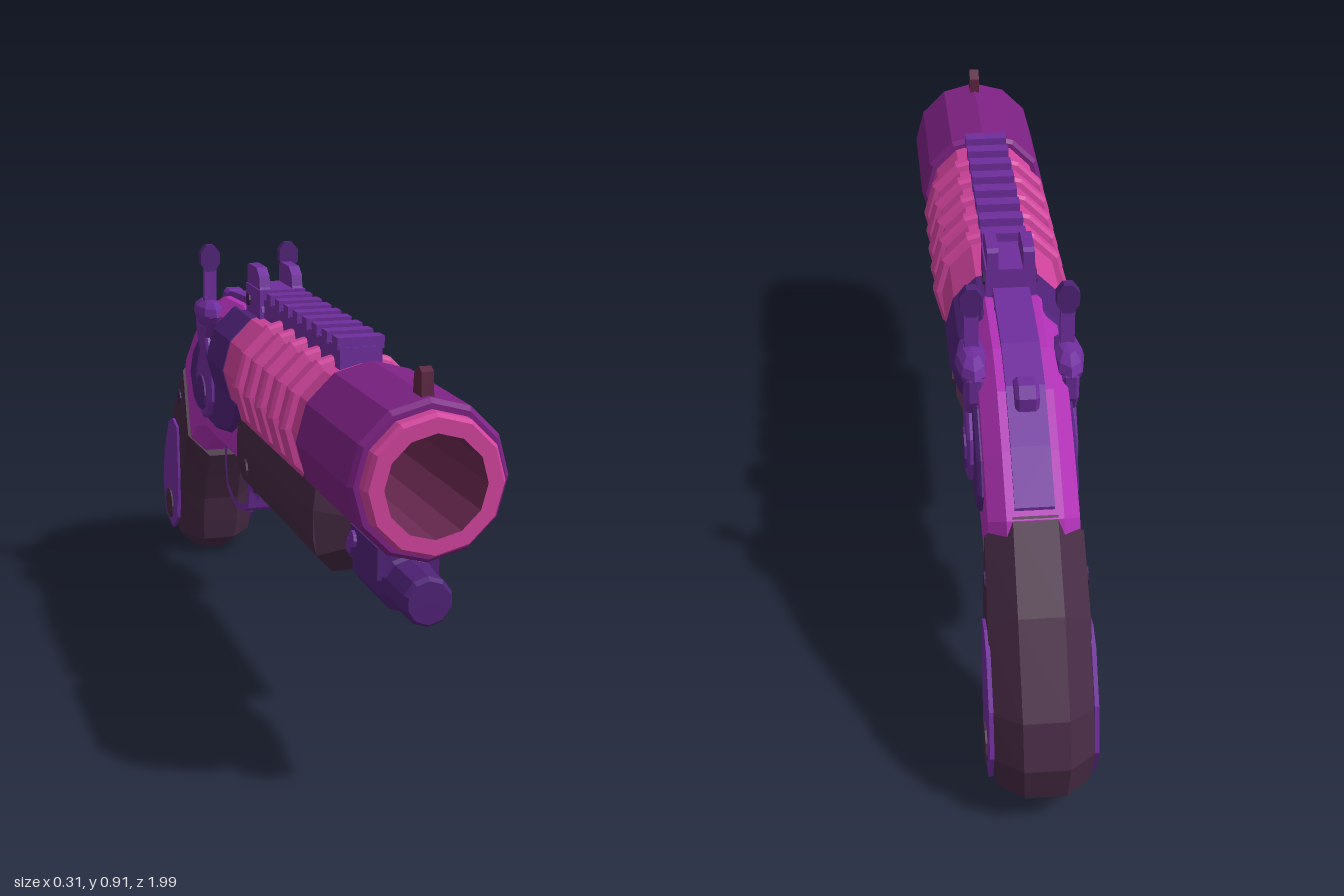
import * as THREE from 'three';

const mat = (name, color) => {
  const m = new THREE.MeshStandardMaterial({ color });
  m.name = name;
  return m;
};

export function createModel() {
  const pink = mat('pink', 0xd0439c);
  const plum = mat('plum', 0x7d2183);
  const magenta = mat('magenta', 0xb131b6);
  const violet = mat('violet', 0x6f2d9c);
  const indigo = mat('indigo', 0x4f2277);
  const dark = mat('dark grip', 0x462a44);
  const boreMat = mat('bore', 0x6b2952);
  const sightMat = mat('maroon', 0x5a2340);
  const screwMat = mat('screw', 0x3c1f50);

  const model = new THREE.Group();

  // Adds a faceted mesh
  const add = (name, geo, material, x = 0, y = 0, z = 0) => {
    const g = geo.index ? geo.toNonIndexed() : geo;
    g.computeVertexNormals();
    const mesh = new THREE.Mesh(g, material);
    mesh.name = name;
    mesh.position.set(x, y, z);
    model.add(mesh);
    return mesh;
  };
  const box = (name, m, w, h, d, x, y, z) => add(name, new THREE.BoxGeometry(w, h, d), m, x, y, z);
  const shapeOf = pts => new THREE.Shape(pts.map(p => new THREE.Vector2(p[0], p[1])));

  // Extrudes a (z, y) side profile across x, with chamfered edges
  const side = (name, m, pts, width, bevel = 0, x = 0, hole = null) => {
    const s = shapeOf(pts);
    if (hole) s.holes.push(new THREE.Path(hole.map(p => new THREE.Vector2(p[0], p[1]))));
    const depth = width - 2 * bevel;
    const g = new THREE.ExtrudeGeometry(s, {
      depth, bevelEnabled: bevel > 0, bevelSize: bevel, bevelThickness: bevel,
      bevelOffset: -bevel, bevelSegments: 1, curveSegments: 6,
    });
    g.translate(0, 0, -depth / 2).rotateY(-Math.PI / 2);
    return add(name, g, m, x);
  };
  // Turns an (r, z) profile around the z axis
  const turned = (name, m, pts, y, sides = 12) => add(name,
    new THREE.LatheGeometry(pts.map(p => new THREE.Vector2(p[0], p[1])), sides).rotateX(Math.PI / 2), m, 0, y);
  // Disc facing sideways
  const disc = (name, m, r, t, x, y, z, sides = 10) =>
    add(name, new THREE.CylinderGeometry(r, r, t, sides).rotateZ(Math.PI / 2), m, x, y, z);

  // Barrel, bore, sleeve and cooling rings
  const axis = 0.66;
  turned('barrel', pink, [[0.1, -0.08], [0.137, -0.08], [0.137, 0.99], [0.13, 1], [0.1, 1]], axis);
  turned('bore', boreMat, [[0.1, 1], [0.1, 0.55], [0, 0.55]], axis);
  turned('muzzleSleeve', plum, [[0.13, 0.61], [0.148, 0.61], [0.157, 0.62], [0.157, 0.955], [0.148, 0.966], [0.13, 0.966]], axis);
  for (let i = 0; i < 5; i++) {
    const z = 0.102 + i * 0.0985;
    turned('barrelRing', pink, [[0.13, z - 0.022], [0.15, z - 0.018], [0.157, z - 0.01],
      [0.157, z + 0.01], [0.15, z + 0.018], [0.13, z + 0.022]], axis);
  }
  turned('chamber', indigo, [[0, -0.35], [0.085, -0.34], [0.125, -0.29], [0.139, -0.24], [0.139, -0.075], [0.12, -0.07]], axis);

  // Front sight
  side('frontSight', sightMat, [[0.945, 0.80], [0.895, 0.80], [0.9, 0.85], [0.925, 0.868], [0.94, 0.86]], 0.024);

  // Top rail with teeth
  box('rail', violet, 0.09, 0.05, 0.6, 0, 0.805, 0.25);
  for (let i = 0; i < 8; i++) box('railTooth', violet, 0.1, 0.025, 0.036, 0, 0.838, 0.53 - i * 0.074);

  // Rear sight: base and two uprights
  box('rearSightBase', violet, 0.11, 0.07, 0.13, 0, 0.815, -0.11);
  for (const s of [-1, 1]) {
    side('rearSightPost', violet, [[-0.04, 0.8], [-0.175, 0.78], [-0.175, 0.89], [-0.165, 0.897], [-0.09, 0.897], [-0.065, 0.88], [-0.06, 0.855]],
      0.025, 0, s * 0.039);
    disc('rearSightScrew', screwMat, 0.015, 0.01, s * 0.054, 0.815, -0.145, 8);
  }

  // Handguard, its lower front edge cut back
  const half = [[0.05, 0.35], [0.1, 0.405], [0.115, 0.45], [0.115, 0.51], [0.108, 0.57]];
  const guardShape = shapeOf([...half, ...half.map(([x, y]) => [-x, y]).reverse()]);
  const hg = new THREE.ExtrudeGeometry(guardShape, { depth: 0.635, bevelEnabled: false });
  hg.translate(0, 0, -0.035);
  const hp = hg.attributes.position;
  for (let i = 0; i < hp.count; i++) {
    if (hp.getZ(i) > 0.5) hp.setZ(i, hp.getZ(i) - Math.max(0, 0.43 - hp.getY(i)));
  }
  add('handguard', hg, dark);

  // Lamp below the muzzle
  turned('lampTube', violet, [[0, 0.52], [0.042, 0.52], [0.042, 0.7]], 0.43, 10);
  turned('lampBody', indigo, [[0.035, 0.68], [0.062, 0.69], [0.062, 0.85], [0.05, 0.862]], 0.43, 10);
  turned('lampHead', indigo, [[0.05, 0.86], [0.05, 0.965], [0.043, 0.975], [0, 0.975]], 0.43, 10);
  box('lampClamp', indigo, 0.125, 0.065, 0.17, 0, 0.472, 0.77);
  box('lampMount', screwMat, 0.085, 0.05, 0.13, 0, 0.515, 0.77);
  for (const s of [-1, 1]) disc('lampScrew', violet, 0.018, 0.01, s * 0.064, 0.48, 0.71, 8);

  // Frame running back into the grip
  side('frame', magenta, [[-0.035, 0.70], [-0.035, 0.40], [-0.3, 0.40], [-0.45, 0.40], [-0.55, 0.375], [-0.62, 0.325],
    [-0.72, 0.32], [-0.76, 0.47], [-0.72, 0.58], [-0.61, 0.67], [-0.5, 0.745], [-0.39, 0.78], [-0.19, 0.79], [-0.07, 0.75]], 0.185, 0.035);
  side('topStrap', violet, [[-0.1, 0.77], [-0.18, 0.808], [-0.39, 0.793], [-0.5, 0.757], [-0.61, 0.682], [-0.705, 0.6],
    [-0.7, 0.55], [-0.58, 0.64], [-0.38, 0.74]], 0.08);
  side('strapLug', violet, [[-0.44, 0.74], [-0.5, 0.778], [-0.535, 0.778], [-0.552, 0.755], [-0.548, 0.72], [-0.52, 0.70]], 0.05, 0.008);

  // Grip: octagonal sections between its back and front edges
  const sections = [
    [-0.714, 0.586, -0.623, 0.307, 0.1], [-0.848, 0.436, -0.655, 0.24, 0.103], [-0.96, 0.265, -0.687, 0.168, 0.103],
    [-0.992, 0.168, -0.70, 0.10, 0.103], [-0.97, 0.078, -0.714, 0.045, 0.095], [-0.9, 0.013, -0.783, 0.0, 0.05],
  ];
  const ringUV = [[0.45, 0], [1, 0.2], [1, 0.8], [0.45, 1], [-0.45, 1], [-1, 0.8], [-1, 0.2], [-0.45, 0]];
  const verts = [], idx = [];
  for (const [z0, y0, z1, y1, w] of sections) {
    for (const [u, t] of ringUV) verts.push(u * w, y0 + (y1 - y0) * t, z0 + (z1 - z0) * t);
  }
  for (let s = 0; s < sections.length - 1; s++) {
    for (let i = 0; i < 8; i++) {
      const a = s * 8 + i, b = s * 8 + (i + 1) % 8;
      idx.push(a, b, a + 8, b, b + 8, a + 8);
    }
  }
  const end = (sections.length - 1) * 8;
  for (let i = 1; i < 7; i++) idx.push(0, i + 1, i, end, end + i, end + i + 1);
  const grip = new THREE.BufferGeometry();
  grip.setAttribute('position', new THREE.Float32BufferAttribute(verts, 3));
  grip.setIndex(idx);
  add('grip', grip, dark);

  // Trigger guard and trigger
  side('triggerGuard', violet, [[-0.21, 0.44], [-0.21, 0.36], [-0.235, 0.27], [-0.28, 0.25], [-0.37, 0.235], [-0.46, 0.265],
    [-0.482, 0.33], [-0.465, 0.44]], 0.075, 0, 0,
  [[-0.232, 0.42], [-0.232, 0.36], [-0.252, 0.284], [-0.288, 0.266], [-0.37, 0.252], [-0.445, 0.28], [-0.462, 0.33], [-0.447, 0.42]]);
  side('guardBlock', violet, [[-0.095, 0.41], [-0.105, 0.375], [-0.12, 0.325], [-0.225, 0.325], [-0.235, 0.41]], 0.08);
  side('trigger', violet, [[-0.37, 0.42], [-0.375, 0.36], [-0.34, 0.315], [-0.355, 0.305], [-0.395, 0.34], [-0.405, 0.42]], 0.035);

  // Parts repeated on both flanks
  for (const s of [-1, 1]) {
    side('lockPlate', indigo, [[-0.08, 0.57], [-0.12, 0.51], [-0.17, 0.485], [-0.31, 0.462], [-0.5, 0.468], [-0.55, 0.485], [-0.592, 0.55],
      [-0.555, 0.615], [-0.46, 0.68], [-0.4, 0.70], [-0.25, 0.7], [-0.1, 0.62]], 0.04, 0.008, s * 0.084);
    side('hammerBody', violet, [[-0.29, 0.745], [-0.35, 0.685], [-0.31, 0.63], [-0.31, 0.53], [-0.34, 0.49], [-0.39, 0.472], [-0.44, 0.49],
      [-0.465, 0.545], [-0.455, 0.6], [-0.42, 0.645], [-0.455, 0.69], [-0.46, 0.745]], 0.035, 0.006, s * 0.099);
    disc('hammerPivot', indigo, 0.045, 0.01, s * 0.116, 0.54, -0.39);
    const cap = new THREE.SphereGeometry(1, 8, 6);
    cap.scale(0.036, 0.036, 0.088);
    add('hammerCap', cap, violet, s * 0.1, 0.745, -0.375);
    box('hammerPost', violet, 0.03, 0.13, 0.018, s * 0.1, 0.805, -0.365);
    const knob = new THREE.CylinderGeometry(0.035, 0.035, 0.02, 8).rotateY(Math.PI / 8).rotateX(Math.PI / 2);
    knob.scale(0.75, 1, 1.2);
    add('hammerKnob', knob, indigo, s * 0.1, 0.882, -0.365);
    side('gripPlate', violet, [[-0.745, 0.36], [-0.80, 0.375], [-0.85, 0.355], [-0.915, 0.26], [-0.94, 0.16], [-0.9, 0.075], [-0.82, 0.055],
      [-0.755, 0.1], [-0.735, 0.22]], 0.009, 0, s * 0.105);
    disc('gripScrew', dark, 0.042, 0.01, s * 0.109, 0.12, -0.843);
    disc('gripTopScrew', screwMat, 0.02, 0.01, s * 0.1, 0.45, -0.735, 8);
    disc('guardScrew', screwMat, 0.018, 0.01, s * 0.041, 0.355, -0.14, 8);
    disc('handguardScrew', dark, 0.022, 0.01, s * 0.115, 0.455, 0.05, 8);
  }
  return model;
}
